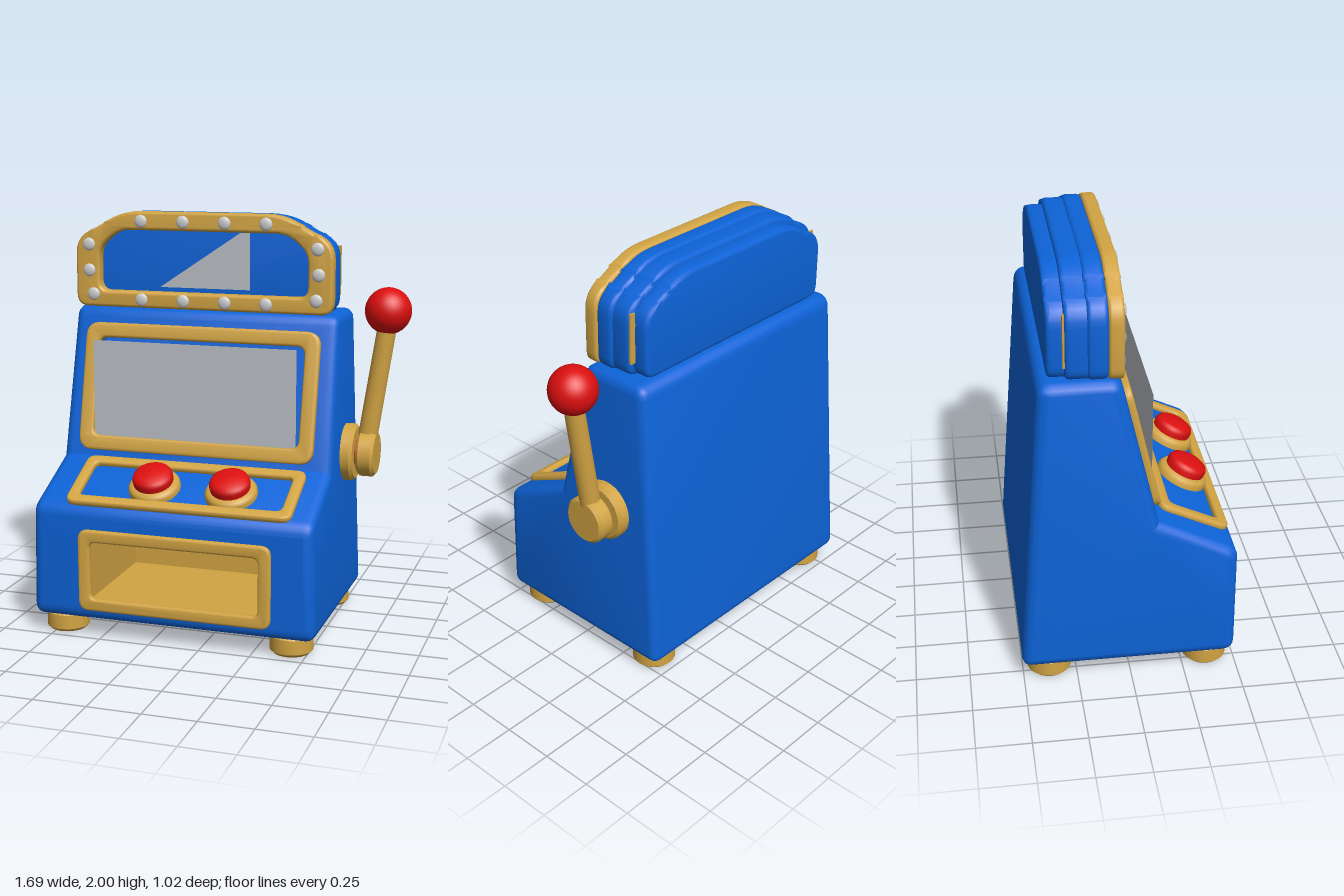
import * as THREE from 'three';
import { mergeGeometries, toCreasedNormals } from 'three/addons/utils/BufferGeometryUtils.js';

const mat = (name, color, side = THREE.FrontSide) => {
  const m = new THREE.MeshStandardMaterial({ color, side });
  m.name = name;
  return m;
};
const CX = -0.147; // cabinet centre line

// Closed shape from [x, y, cornerRadius] points
function roundedShape(points, Type = THREE.Shape) {
  const shape = new Type();
  const n = points.length;
  points.forEach(([x, y, r = 0], i) => {
    const toward = ([px, py]) => {
      const l = Math.hypot(px - x, py - y);
      return [x + (px - x) / l * r, y + (py - y) / l * r];
    };
    const a = toward(points[(i + n - 1) % n]), b = toward(points[(i + 1) % n]);
    if (i === 0) shape.moveTo(...a); else shape.lineTo(...a);
    if (r > 0) shape.quadraticCurveTo(x, y, ...b);
  });
  shape.closePath();
  return shape;
}

const rect = (w, h, r = 0, y = 0, Type = THREE.Shape) => roundedShape(
  [[-w / 2, y - h / 2, r], [w / 2, y - h / 2, r], [w / 2, y + h / 2, r], [-w / 2, y + h / 2, r]], Type);

// Extrusion between z0 and z1 whose bevel stays inside the outline
function bevelled(shape, z0, z1, bevel) {
  const g = new THREE.ExtrudeGeometry(shape, {
    depth: z1 - z0 - 2 * bevel, bevelEnabled: true, bevelThickness: bevel, bevelSize: bevel,
    bevelOffset: -bevel, bevelSegments: 3, curveSegments: 5,
  });
  g.translate(0, 0, z0 + bevel);
  return toCreasedNormals(g, 0.6);
}

// Rounded picture-frame ring
function ring(w, h, rim, depth, r) {
  const s = rect(w, h, r);
  s.holes.push(rect(w - 2 * rim, h - 2 * rim, r * 0.6, 0, THREE.Path));
  return bevelled(s, -0.01, depth, 0.012);
}

// Inward-facing box, open at its front (z = 0)
function pocket(w, h, d) {
  const g = new THREE.BoxGeometry(w, h, d);
  g.setIndex(Array.from(g.index.array).filter((_, i) => i < 24 || i > 29));
  g.scale(-1, 1, 1);
  g.translate(0, 0, -d / 2);
  return toCreasedNormals(g.toNonIndexed(), 0.3);
}

// Matrix for a face of the side profile: local y runs from a to b, z points out
function faceMatrix(a, b) {
  return new THREE.Matrix4().makeRotationX(Math.atan2(b[0] - a[0], b[1] - a[1]))
    .setPosition(0, (a[1] + b[1]) / 2, (a[0] + b[0]) / 2);
}

// Side profile as [z, y, radius]
const profile = [[-0.51, 0.085, 0.05], [0.49, 0.085, 0.06], [0.49, 0.64, 0.05],
  [0.125, 0.81], [-0.045, 1.53, 0.05], [-0.405, 1.53, 0.06]];

// Cabinet shell with openings cut in its front faces
function cabinetGeometry(openings) {
  const half = 0.70, bevel = 0.045;
  const shell = bevelled(roundedShape(profile), -half, half, bevel);
  shell.rotateY(-Math.PI / 2);
  const p = shell.attributes.position, keep = [], parts = [];
  const onFace = (i, { a, b }) => {
    const dz = b[0] - a[0], dy = b[1] - a[1], l = Math.hypot(dz, dy);
    return Math.abs((p.getZ(i) - a[0]) * dy - (p.getY(i) - a[1]) * dz) / l < 1e-4;
  };
  for (let i = 0; i < p.count; i += 3) {
    if (openings.some(o => [0, 1, 2].every(k => onFace(i + k, o)))) continue;
    for (let k = 0; k < 3; k++) keep.push(p.getX(i + k), p.getY(i + k), p.getZ(i + k));
  }
  const shellPart = new THREE.BufferGeometry();
  shellPart.setAttribute('position', new THREE.Float32BufferAttribute(keep, 3));
  parts.push(shellPart);
  for (const { a, b, w, h, y } of openings) {
    const l = Math.hypot(b[0] - a[0], b[1] - a[1]);
    const lo = -l / 2 + (a[2] || 0), hi = l / 2 - (b[2] || 0), x = half - bevel;
    const s = roundedShape([[-x, lo], [x, lo], [x, hi], [-x, hi]]);
    s.holes.push(rect(w, h, 0, y, THREE.Path));
    const g = new THREE.ShapeGeometry(s).toNonIndexed();
    g.deleteAttribute('uv');
    g.deleteAttribute('normal');
    parts.push(g.applyMatrix4(faceMatrix(a, b)));
  }
  const body = mergeGeometries(parts);
  // Sides lean in slightly toward the top
  const q = body.attributes.position;
  for (let i = 0; i < q.count; i++) q.setX(i, q.getX(i) * (1 - 0.045 * (q.getY(i) - 0.085) / 1.445));
  return toCreasedNormals(body, 0.6);
}

export function createModel() {
  const blue = mat('cabinet blue', 0x0d63d8), gold = mat('gold trim', 0xd2a444);
  const red = mat('red', 0xdc0f0f), glass = mat('grey glass', 0xbcc0c6, THREE.DoubleSide);
  const bulbMat = mat('bulb white', 0xcdcdcd);
  const model = new THREE.Group();
  const add = (name, geometry, material, parent = model, x = 0, y = 0, z = 0) => {
    const m = new THREE.Mesh(geometry, material);
    m.name = name;
    m.position.set(x, y, z);
    parent.add(m);
    return m;
  };
  const faceGroup = (name, a, b) => {
    const g = new THREE.Group();
    g.name = name;
    faceMatrix(a, b).decompose(g.position, g.quaternion, g.scale);
    g.position.x = CX;
    model.add(g);
    return g;
  };

  // Cabinet
  const [, low, lip, step, top] = profile;
  const trayY = -0.022, screenY = -0.026;
  add('cabinet', cabinetGeometry([
    { a: low, b: lip, w: 0.88, h: 0.33, y: trayY },
    { a: step, b: top, w: 1.11, h: 0.56, y: screenY },
  ]), blue, model, CX);

  // Payout tray
  const tray = faceGroup('payoutTray', low, lip);
  add('trayFrame', ring(0.95, 0.4, 0.06, 0.022, 0.05), gold, tray, 0.022, trayY);
  add('trayPocket', pocket(0.86, 0.31, 0.62), gold, tray, 0.022, trayY);

  // Screen with upright glass
  const screen = faceGroup('screen', step, top);
  add('screenFrame', ring(1.19, 0.63, 0.072, 0.032, 0.07), gold, screen, 0, screenY);
  add('screenRecess', pocket(1.07, 0.52, 0.1), blue, screen, 0, screenY);
  add('screenGlass', new THREE.PlaneGeometry(1.025, 0.48), glass, model, -0.152, 1.145, 0.112);

  // Control panel with two buttons
  const panel = faceGroup('controlPanel', lip, step);
  add('panelFrame', ring(1.11, 0.355, 0.055, 0.026, 0.05), gold, panel, 0.024, 0);
  const collar = new THREE.LatheGeometry([[0.125, -0.01], [0.125, 0.02], [0.115, 0.035], [0.095, 0.045], [0, 0.045]]
    .map(c => new THREE.Vector2(...c)), 32);
  const cap = new THREE.LatheGeometry([[0.095, 0.03], [0.098, 0.07], [0.09, 0.088], [0.07, 0.098], [0.035, 0.104], [0, 0.106]]
    .map(c => new THREE.Vector2(...c)), 32);
  for (const g of [collar, cap]) g.rotateX(Math.PI / 2);
  for (const x of [-0.275, 0.107]) {
    add('buttonCollar', collar, gold, panel, x - CX, -0.012);
    add('buttonCap', cap, red, panel, x - CX, -0.012);
  }

  // Top sign: outline relative to its bottom centre
  const sx = -0.157, sy = 1.53;
  const outline = (k, Type) => roundedShape([[-0.652, 0, 0.06], [0.652, 0, 0.06], [0.652, 0.34, 0.08],
    [0.53, 0.395, 0.06], [0.41, 0.47, 0.09], [-0.41, 0.47, 0.09], [-0.53, 0.395, 0.06], [-0.652, 0.34, 0.08]]
    .map(([x, y, r]) => [x * k, y * k, r]), Type);
  const sign = new THREE.Group();
  sign.name = 'topSign';
  sign.position.set(sx, sy, 0);
  model.add(sign);
  const signRing = outline(1);
  signRing.holes.push(roundedShape([[-0.53, 0.08, 0.05], [0.53, 0.08, 0.05], [0.53, 0.29, 0.05],
    [0.43, 0.38, 0.06], [-0.43, 0.38, 0.06], [-0.53, 0.29, 0.05]], THREE.Path));
  add('signFrame', bevelled(signRing, -0.1, -0.032, 0.014), gold, sign);
  [[0.992, -0.19, -0.098], [0.972, -0.285, -0.17], [0.925, -0.36, -0.26]].forEach(([k, z0, z1]) =>
    add('signBody', bevelled(outline(k), z0, z1, 0.02), blue, sign));
  const pane = new THREE.Shape([[-0.232, 0.1], [0.228, 0.1], [0.228, 0.375], [0.18, 0.375]]
    .map(c => new THREE.Vector2(...c)));
  add('signGlass', new THREE.ShapeGeometry(pane), glass, sign, 0, 0, -0.093);
  for (const s of [-1, 1]) add('signSideStrip', new THREE.BoxGeometry(0.03, 0.24, 0.009), gold, sign, s * 0.617, 0.19, -0.289);

  // Sign bulbs
  const bulb = new THREE.SphereGeometry(0.032, 16, 12).scale(1, 1, 0.4);
  const bulbs = [[0.42, 1.842], [0.426, 1.72], [0.415, 1.598], [-0.717, 1.592], [-0.738, 1.709], [-0.738, 1.836]];
  for (const x of [-0.465, -0.251, -0.04, 0.167]) bulbs.push([x, 1.953], [x, 1.571]);
  for (const [x, y] of bulbs) add('signBulb', bulb, bulbMat, model, x, y, -0.032);

  // Chamfered disc standing on y = 0
  const disc = (r, h, c = 0.015) => toCreasedNormals(new THREE.LatheGeometry(
    [[0, 0], [r - c, 0], [r, c], [r, h - c], [r - c, h], [0, h]].map(v => new THREE.Vector2(...v)), 32).toNonIndexed(), 0.6);

  // Feet
  const foot = disc(0.103, 0.1);
  for (const x of [-0.717, 0.417]) for (const z of [0.365, -0.375]) add('foot', foot, gold, model, x, 0, z);

  // Pull lever
  const lever = new THREE.Group();
  lever.name = 'lever';
  lever.position.set(0, 0.843, -0.192);
  model.add(lever);
  const side = g => g.rotateZ(-Math.PI / 2);
  add('leverPlate', side(disc(0.14, 0.08)), gold, lever, 0.512);
  add('leverAxle', side(disc(0.07, 0.04, 0.002)), red, lever, 0.58);
  add('leverHub', side(disc(0.114, 0.088)), gold, lever, 0.602);
  const arm = add('leverArm', new THREE.CylinderGeometry(0.046, 0.048, 0.66, 24), gold, lever, 0.683, 0.34);
  arm.rotation.z = -Math.atan2(0.1, 0.65);
  add('leverKnob', new THREE.SphereGeometry(0.112, 32, 24), red, lever, 0.73, 0.702, -0.004);

  return model;
}
